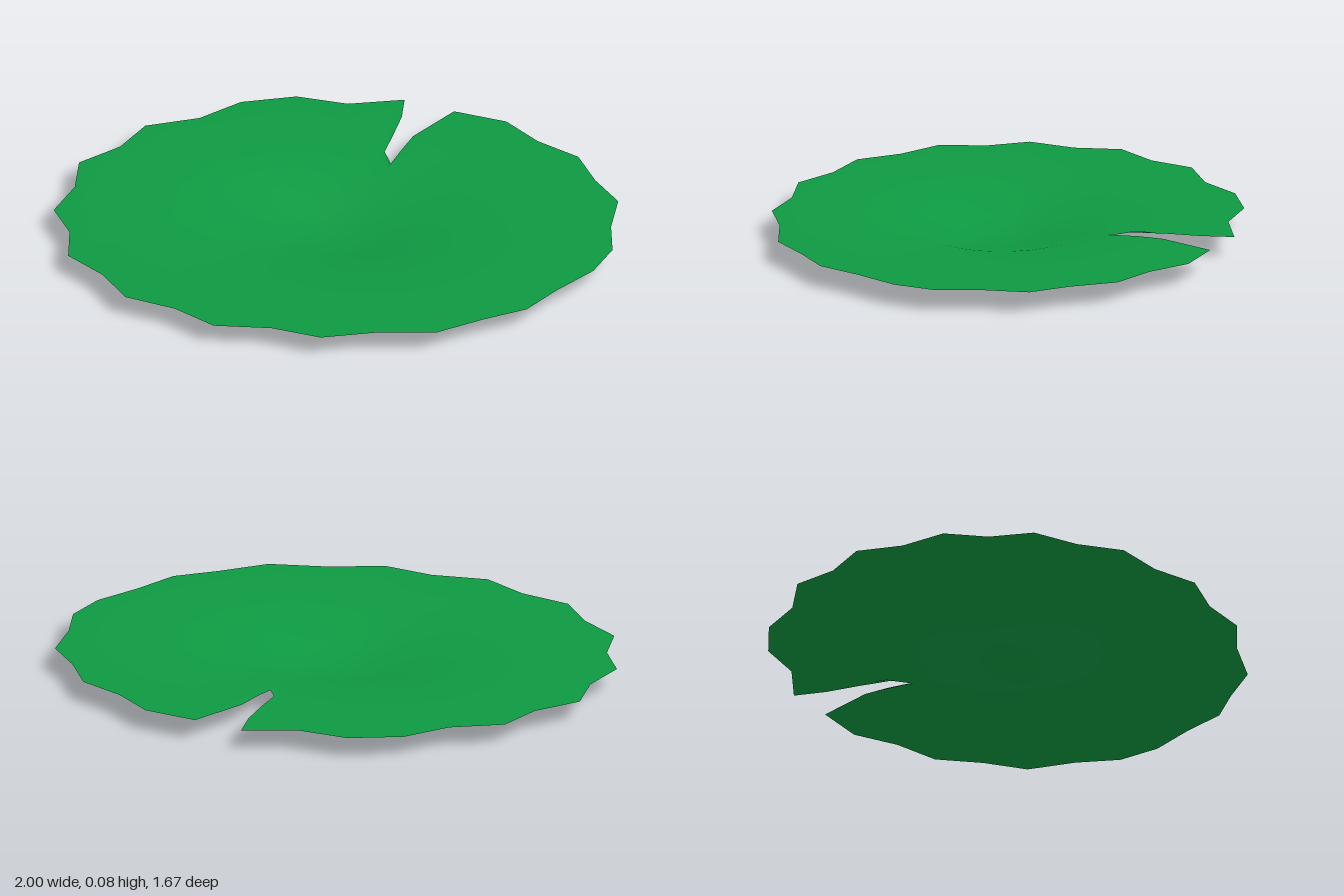
import * as THREE from 'three';

// Scalloped rim as x, z pairs, starting at the tip of the notch
const RIM = [
  0.18, -0.40, 0.245, -0.59, 0.38, -0.77, 0.57, -0.71, 0.69, -0.58, 0.84, -0.48,
  0.91, -0.32, 1.0, -0.18, 0.985, 0, 1.0, 0.16, 0.94, 0.31, 0.82, 0.45,
  0.72, 0.59, 0.57, 0.67, 0.41, 0.77, 0.19, 0.785, 0, 0.83, -0.18, 0.775,
  -0.385, 0.77, -0.53, 0.66, -0.71, 0.59, -0.80, 0.44, -0.93, 0.315, -0.935, 0.15,
  -1, 0, -0.935, -0.165, -0.93, -0.335, -0.79, -0.455, -0.71, -0.605, -0.52, -0.67,
  -0.38, -0.79, -0.185, -0.84, 0, -0.80, 0.20, -0.84, 0.197, -0.72, 0.175, -0.60,
  0.15, -0.48,
];
const DEPTH = 0.83; // z radius relative to x radius

// Height of the shallow dish by distance from the centre
const HEIGHTS = [0, 0.022, 0.058, 0.074, 0.077];
function dishHeight(x, z) {
  const q = Math.min(Math.hypot(x, z / DEPTH) / 0.2, 3.999);
  const i = Math.floor(q);
  return THREE.MathUtils.lerp(HEIGHTS[i], HEIGHTS[i + 1], q - i);
}

function leafGeometry() {
  const n = RIM.length / 2;
  const rim = Array.from({ length: n }, (_, i) => new THREE.Vector2(RIM[2 * i], RIM[2 * i + 1]));

  // Inner oval follows the rim's directions, evened out around the notch
  const core = rim.map((p, i) => {
    const dir = new THREE.Vector2();
    for (const k of [n - 1, 0, 1]) {
      const r = rim[(i + k) % n];
      dir.add(new THREE.Vector2(r.x, r.y / DEPTH).normalize());
    }
    dir.setLength(0.4);
    return new THREE.Vector2(dir.x, dir.y * DEPTH);
  });

  // Rings from the centre to the oval, then on to the rim
  const rings = [
    core.map((p) => p.clone().multiplyScalar(0.5)),
    core,
    ...[1 / 3, 2 / 3, 1].map((t) => core.map((p, i) => p.clone().lerp(rim[i], t))),
  ];
  const positions = [0, 0, 0];
  const index = [];
  for (const ring of rings) {
    for (const p of ring) positions.push(p.x, dishHeight(p.x, p.y), p.y);
  }
  for (let i = 0; i < n; i++) {
    const j = (i + 1) % n;
    index.push(0, 1 + j, 1 + i);
    for (let k = 0; k < rings.length - 1; k++) {
      const a = 1 + k * n;
      const b = a + n;
      index.push(a + i, a + j, b + i, a + j, b + j, b + i);
    }
  }
  const geometry = new THREE.BufferGeometry();
  geometry.setAttribute('position', new THREE.Float32BufferAttribute(positions, 3));
  geometry.setIndex(index);
  geometry.computeVertexNormals();
  return geometry;
}

export function createModel() {
  const group = new THREE.Group();
  group.name = 'lilyPad';

  // One thin, notched floating leaf
  const material = new THREE.MeshStandardMaterial({ color: 0x0e9a42, side: THREE.DoubleSide });
  const leaf = new THREE.Mesh(leafGeometry(), material);
  leaf.name = 'leaf';
  group.add(leaf);
  return group;
}
